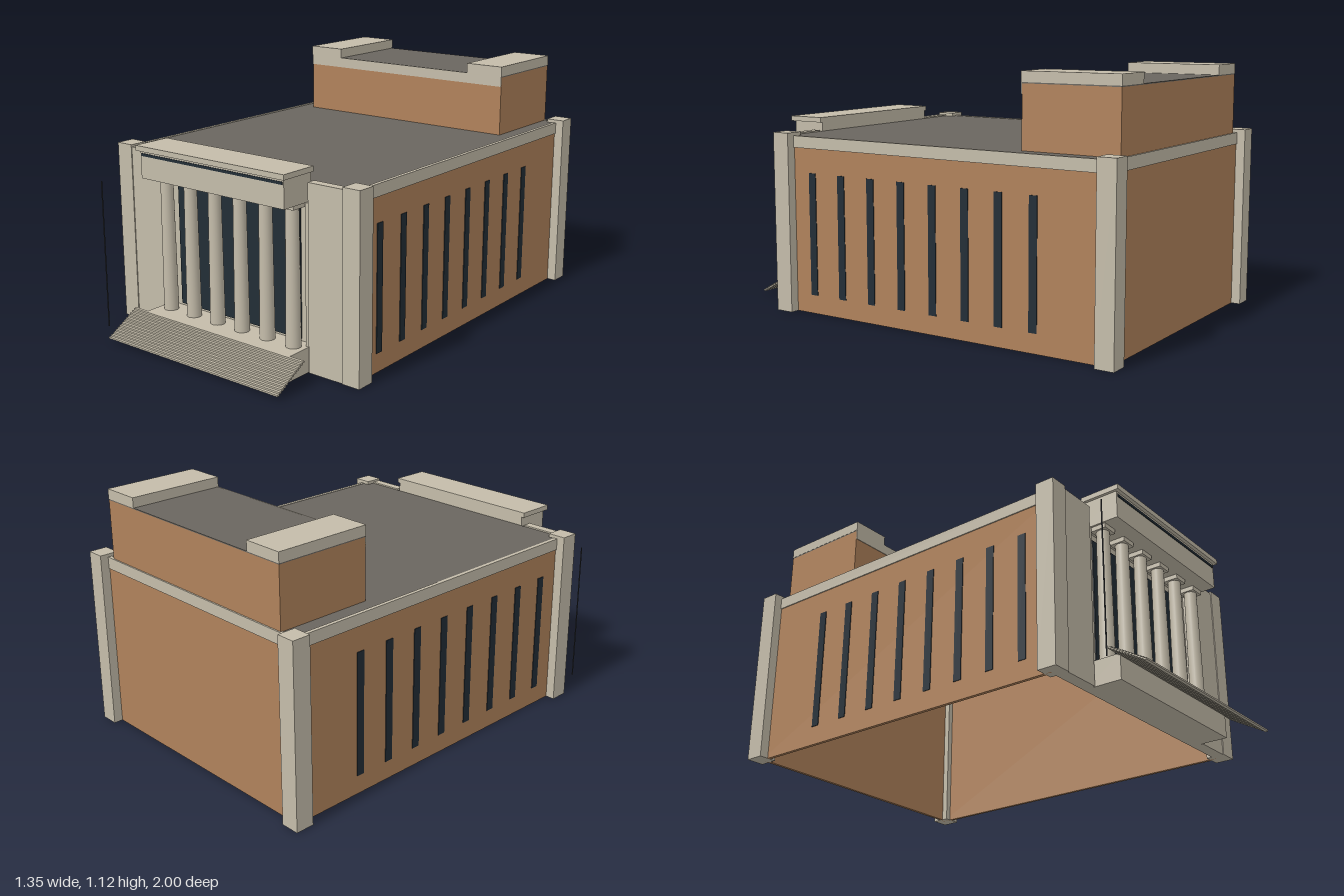
import * as THREE from 'three';

const mat = (name, color) => {
  const m = new THREE.MeshStandardMaterial({ color });
  m.name = name;
  return m;
};

export function createModel() {
  const stone = mat('pale stone', 0xc4bcaa);
  const brick = mat('tan brick', 0xb0825b);
  const roofing = mat('grey roofing', 0x6a665f);
  const glass = mat('dark glass', 0x222d36);
  const metal = mat('dark metal', 0x33363b);

  const model = new THREE.Group();
  model.name = 'columnedHall';

  const add = (name, geometry, material, parent = model) => {
    const mesh = new THREE.Mesh(geometry, material);
    mesh.name = name;
    parent.add(mesh);
    return mesh;
  };
  // Box given by its lower and upper bounds on each axis
  const block = (name, material, [x0, x1], [y0, y1], [z0, z1], parent = model) => {
    const g = new THREE.BoxGeometry(x1 - x0, y1 - y0, z1 - z0);
    g.translate((x0 + x1) / 2, (y0 + y1) / 2, (z0 + z1) / 2);
    return add(name, g, material, parent);
  };
  // Same box on the left (+x) and mirrored to the right
  const pair = (name, material, [x0, x1], y, z) => {
    block(name + 'Left', material, [x0, x1], y, z);
    block(name + 'Right', material, [-x1, -x0], y, z);
  };

  // Hollow hall: walls, stone band along the top, roof slab
  pair('sideWall', brick, [0.617, 0.632], [0, 0.75], [-0.958, 0.67]);
  pair('sideBand', stone, [0.62, 0.637], [0.75, 0.803], [-0.962, 0.68]);
  block('backWall', brick, [-0.617, 0.617], [0, 0.75], [-0.958, -0.943]);
  block('backBand', stone, [-0.62, 0.62], [0.75, 0.803], [-0.962, -0.945]);
  block('frontWall', stone, [-0.617, 0.617], [0, 0.8], [0.665, 0.68]);
  block('roof', roofing, [-0.627, 0.627], [0.785, 0.801], [-0.955, 0.679]);

  // Corner piers and the front wings beside the portico
  pair('frontPier', stone, [0.59, 0.675], [0, 0.817], [0.64, 0.726]);
  pair('backPier', stone, [0.59, 0.675], [0, 0.817], [-1, -0.915]);
  pair('frontWing', stone, [0.415, 0.59], [0, 0.807], [0.68, 0.722]);
  pair('porticoJamb', stone, [0.395, 0.415], [0, 0.72], [0.68, 0.715]);

  // Tall slit windows on both sides
  for (let i = 0; i < 8; i++) {
    const z = 0.536 - i * 0.1643;
    pair('sideWindow' + (i + 1), glass, [0.63, 0.635], [0.085, 0.64], [z - 0.019, z + 0.019]);
  }

  // Portico: floor, glazing, entablature and cornice
  block('porticoFloor', stone, [-0.41, 0.41], [0, 0.11], [0.68, 0.84]);
  block('frontGlazing', glass, [-0.345, 0.345], [0.12, 0.69], [0.679, 0.686]);
  block('entablature', stone, [-0.398, 0.398], [0.72, 0.842], [0.68, 0.846]);
  block('friezeStrip', glass, [-0.391, 0.391], [0.819, 0.831], [0.844, 0.849]);
  block('cornice', stone, [-0.411, 0.411], [0.842, 0.865], [0.68, 0.862]);

  // Six tapered columns with square capitals
  const colonnade = new THREE.Group();
  colonnade.name = 'colonnade';
  model.add(colonnade);
  for (let i = 0; i < 6; i++) {
    const x = (i - 2.5) * 0.1412;
    add('column' + (i + 1), new THREE.CylinderGeometry(0.028, 0.033, 0.592, 20), stone, colonnade)
      .position.set(x, 0.406, 0.744);
    block('capital' + (i + 1), stone, [x - 0.036, x + 0.036], [0.7, 0.72], [0.708, 0.78], colonnade);
  }

  // Open flight of thin steps
  const steps = new THREE.Group();
  steps.name = 'frontSteps';
  model.add(steps);
  const count = 13, rise = 0.095 / count, run = 0.165 / count;
  for (let i = 0; i < count; i++) {
    const y = 0.015 + i * rise, z = 1 - i * run;
    block('step' + (i + 1), stone, [-0.484, 0.484], [y, y + rise], [z - run * 1.1, z], steps);
  }

  // Raised block at the back of the roof
  block('upperBlock', brick, [-0.556, 0.556], [0.8, 1.07], [-0.955, -0.512]);
  block('upperBlockRoof', roofing, [-0.556, 0.556], [1.07, 1.075], [-0.955, -0.512]);
  block('upperFrontBand', stone, [-0.556, 0.556], [1.028, 1.0755], [-0.513, -0.509]);
  pair('upperCap', stone, [0.372, 0.557], [1.075, 1.12], [-0.956, -0.509]);

  // Free-standing pole in front of the right wing
  add('flagpole', new THREE.CylinderGeometry(0.003, 0.003, 0.67, 8), metal).position.set(-0.596, 0.35, 0.9);

  return model;
}
